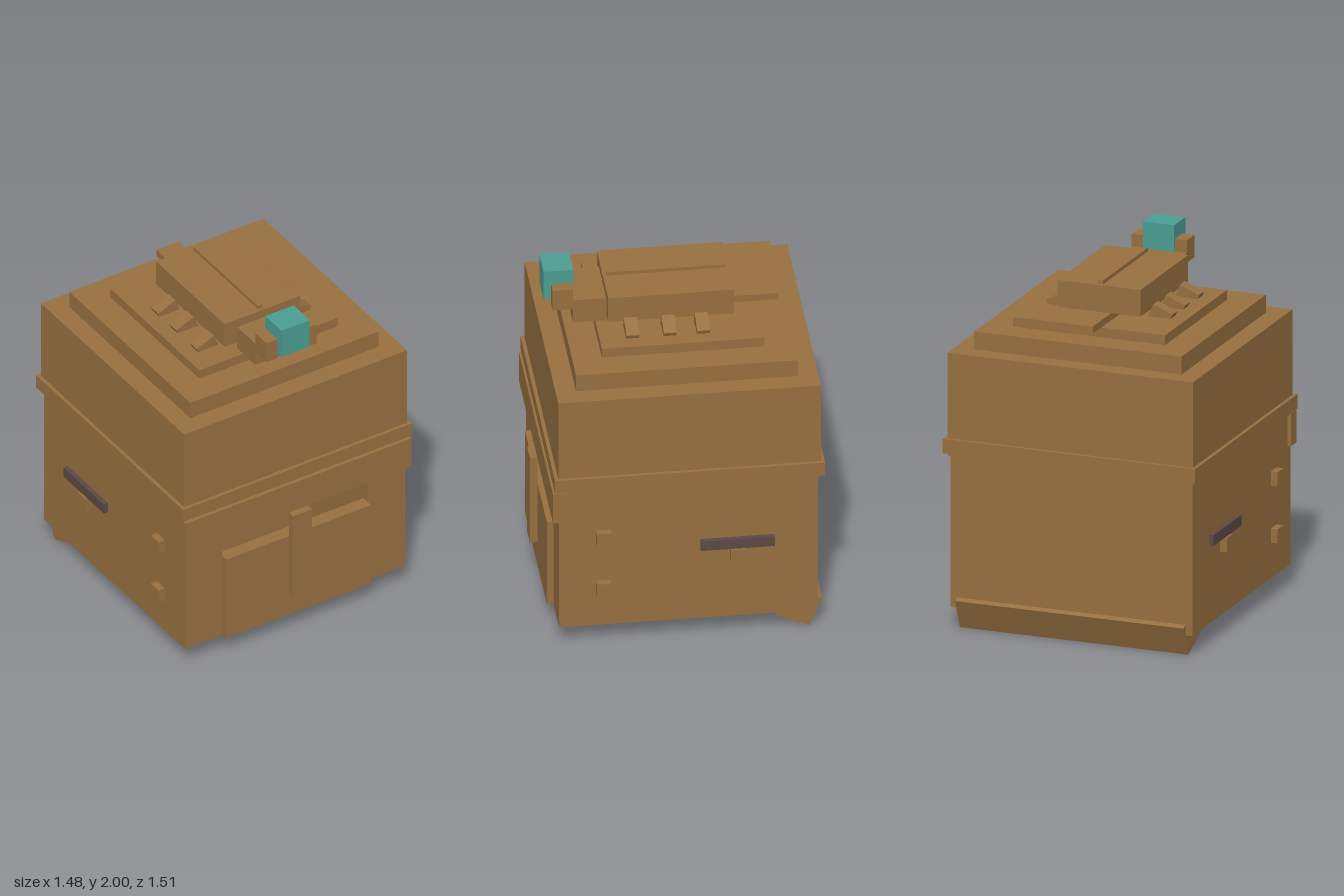
import * as THREE from 'three';

const wood = new THREE.MeshStandardMaterial({ name: 'brown', color: 0x977040 });
const teal = new THREE.MeshStandardMaterial({ name: 'teal', color: 0x4b9e93 });
const iron = new THREE.MeshStandardMaterial({ name: 'dark iron', color: 0x5b4a45 });

// Box given by its limits on each axis
function box(parent, name, [x0, x1], [y0, y1], [z0, z1], material = wood) {
  const mesh = new THREE.Mesh(new THREE.BoxGeometry(x1 - x0, y1 - y0, z1 - z0), material);
  mesh.position.set((x0 + x1) / 2, (y0 + y1) / 2, (z0 + z1) / 2);
  mesh.name = name;
  parent.add(mesh);
  return mesh;
}

// Same, symmetric about x = 0
const mid = (parent, name, half, y, z, material) => box(parent, name, [-half, half], y, z, material);

function group(parent, name) {
  const g = new THREE.Group();
  g.name = name;
  parent.add(g);
  return g;
}

export function createModel() {
  const model = new THREE.Group();
  model.name = 'furnaceChest';

  // Lower body: U-shaped walls around a chamber open to the front and below
  const body = group(model, 'body');
  const plan = new THREE.Shape([
    [-0.7, -0.68], [-0.465, -0.68], [-0.465, -0.05], [0.465, -0.05],
    [0.465, -0.68], [0.7, -0.68], [0.7, 0.72], [-0.7, 0.72],
  ].map(([x, y]) => new THREE.Vector2(x, y)));
  const walls = new THREE.Mesh(
    new THREE.ExtrudeGeometry(plan, { depth: 0.675, bevelEnabled: false }).rotateX(-Math.PI / 2), wood);
  walls.position.y = 0.125;
  walls.name = 'walls';
  body.add(walls);
  mid(body, 'chamberRoof', 0.7, [0.8, 0.975], [-0.72, 0.68]);
  mid(body, 'collar', 0.71, [0.975, 1.0], [-0.727, 0.685]);
  mid(body, 'frontBand', 0.72, [0.8, 0.985], [0.64, 0.715]);

  // Door with its upright bar
  mid(body, 'door', 0.46, [0.125, 0.645], [0.64, 0.715]);
  mid(body, 'doorBar', 0.06, [0.265, 0.8], [0.715, 0.755]);

  // Tilted foot under the back
  const foot = mid(body, 'backFoot', 0.66, [0.035, 0.215], [-0.722, -0.525]);
  foot.rotation.x = -Math.PI / 8;

  // Pegs and handles on both sides
  for (const s of [1, -1]) {
    const side = group(body, s > 0 ? 'leftFittings' : 'rightFittings');
    const range = (a, b) => (s > 0 ? [a, b] : [-b, -a]);
    for (const y of [0.325, 0.645]) box(side, 'peg', range(0.69, 0.74), [y, y + 0.08], [0.4, 0.48]);
    box(side, 'handleBar', range(0.69, 0.727), [0.565, 0.625], [-0.485, -0.085], iron);
    box(side, 'handlePost', range(0.69, 0.74), [0.485, 0.565], [-0.325, -0.245]);
  }

  // Stepped lid
  const lid = group(model, 'lid');
  mid(lid, 'rim', 0.73, [0.995, 1.075], [-0.755, 0.705]);
  mid(lid, 'lidBlock', 0.71, [1.075, 1.555], [-0.735, 0.685]);
  mid(lid, 'lowerStep', 0.6, [1.555, 1.655], [-0.625, 0.575]);
  mid(lid, 'upperStep', 0.44, [1.655, 1.71], [-0.465, 0.415]);

  // Beetle ornament holding a gem
  const beetle = group(model, 'beetle');
  mid(beetle, 'shell', 0.24, [1.75, 1.9], [-0.325, 0.355]);
  mid(beetle, 'shellRidge', 0.015, [1.9, 1.92], [-0.305, 0.335]);
  mid(beetle, 'bellyAndTail', 0.07, [1.71, 1.75], [-0.585, 0.36]);
  mid(beetle, 'head', 0.16, [1.71, 1.85], [0.355, 0.535]);
  mid(beetle, 'gem', 0.09, [1.825, 2.0], [0.525, 0.685], teal);
  for (const s of [1, -1]) {
    const c = s * 0.125;
    box(beetle, 'pincer', [c - 0.035, c + 0.035], [1.795, 1.92], [0.535, 0.645]);
    for (const z of [0.2375, 0.035, -0.145]) {
      const leg = box(beetle, 'leg', [-0.06, 0.06], [-0.0375, 0.0375], [z - 0.035, z + 0.035]);
      leg.position.x = s * 0.296;
      leg.position.y = 1.722;
      leg.rotation.z = -s * Math.PI / 8;
    }
  }
  return model;
}
